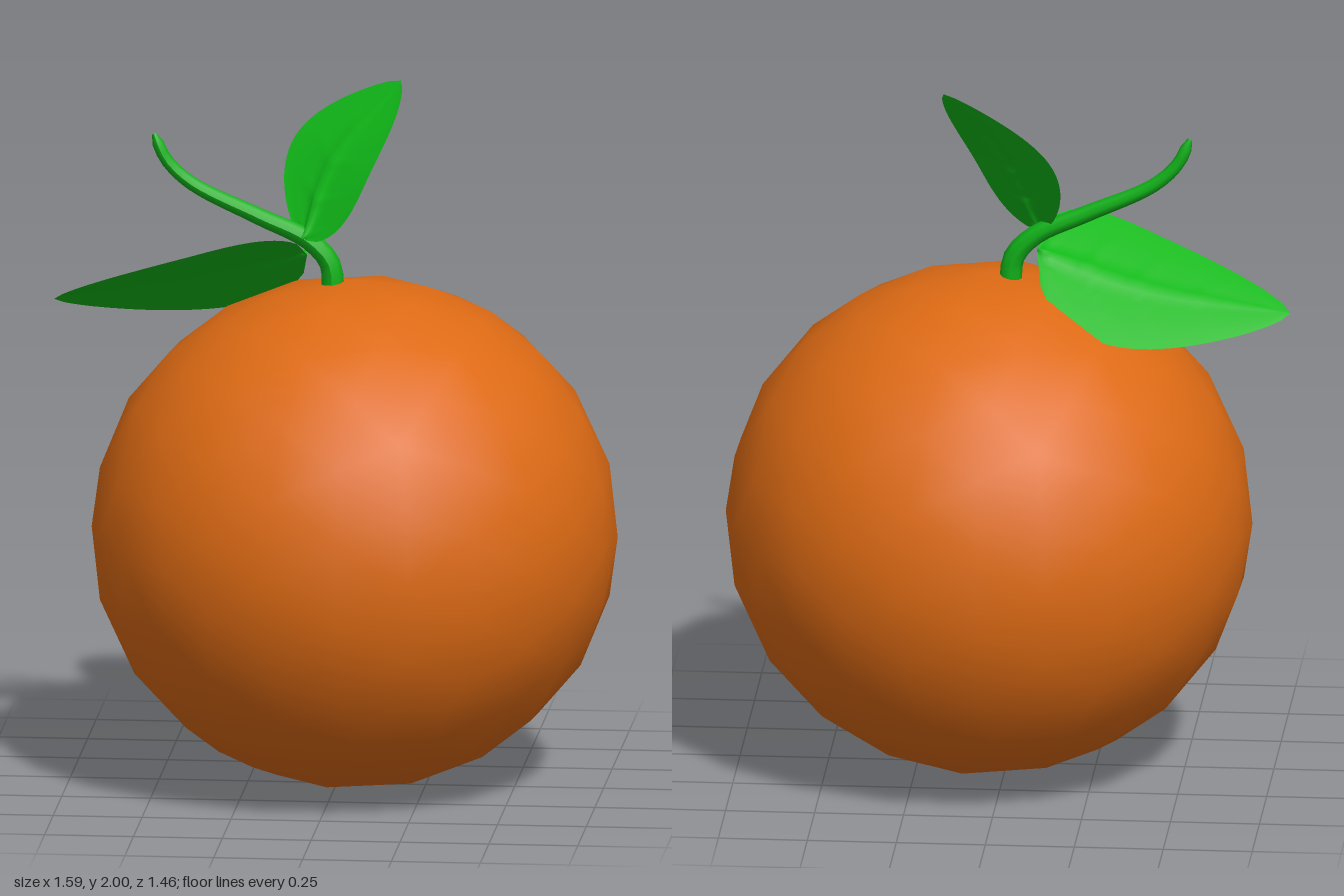
import * as THREE from 'three';

const V = (x, y, z) => new THREE.Vector3(x, y, z);

// Leaf sheet: a midline curve swept with a rounded width profile;
// grooves for the midrib and chevron side veins are pressed into its veined face.
function makeLeaf(name, midline, across, halfWidth, peak, cup, veinSide, material) {
  const curve = new THREE.CatmullRomCurve3(midline);
  const side = across.clone().normalize();
  const power = Math.log(0.5) / Math.log(peak);
  const geometry = new THREE.PlaneGeometry(1, 1, 20, 32);
  const pos = geometry.attributes.position;
  for (let i = 0; i < pos.count; i++) {
    const s = pos.getX(i) * 2;
    const t = THREE.MathUtils.clamp(pos.getY(i) + 0.5, 0, 1);
    const width = halfWidth * Math.pow(Math.max(Math.sin(Math.PI * Math.pow(t, power)), 0.0001), 0.7);
    const normal = side.clone().cross(curve.getTangent(t)).normalize();
    const a = Math.abs(s);
    const midrib = Math.exp(-((s / 0.1) ** 2)) * (1 - t);
    const chevron = Math.max(0, Math.cos((t - a * 0.16) * 28)) ** 6 * Math.max(0, 1 - a * 1.4) * (1 - t);
    const lift = cup * s * s * width - veinSide * (0.012 * midrib + 0.005 * chevron);
    const p = curve.getPoint(t).addScaledVector(side, s * width).addScaledVector(normal, lift);
    pos.setXYZ(i, p.x, p.y, p.z);
  }
  geometry.computeVertexNormals();
  const mesh = new THREE.Mesh(geometry, material);
  mesh.name = name;
  return mesh;
}

// Stem: a bent tube that narrows towards its free end
function makeStem(material) {
  const curve = new THREE.CatmullRomCurve3([
    V(-0.01, 1.4, 0), V(-0.02, 1.49, 0), V(-0.08, 1.555, 0), V(-0.22, 1.62, 0),
    V(-0.41, 1.71, -0.005), V(-0.48, 1.775, -0.005), V(-0.515, 1.85, -0.005),
  ]);
  const rings = 24, sides = 8;
  const geometry = new THREE.TubeGeometry(curve, rings, 0.032, sides, false);
  const pos = geometry.attributes.position;
  const p = V(0, 0, 0);
  for (let i = 0; i < pos.count; i++) {
    const u = Math.floor(i / (sides + 1)) / rings;
    const centre = curve.getPointAt(u);
    p.fromBufferAttribute(pos, i).sub(centre).multiplyScalar(u === 1 ? 0.2 : 1 - 0.5 * u).add(centre);
    pos.setXYZ(i, p.x, p.y, p.z);
  }
  geometry.computeVertexNormals();
  const mesh = new THREE.Mesh(geometry, material);
  mesh.name = 'stem';
  return mesh;
}

export function createModel() {
  const model = new THREE.Group();
  model.name = 'orangeFruit';

  const peel = new THREE.MeshStandardMaterial({ color: 0xdd6a14 });
  const stemGreen = new THREE.MeshStandardMaterial({ color: 0x10b018 });
  const leafGreen = new THREE.MeshStandardMaterial({ color: 0x10b818, side: THREE.DoubleSide });

  // Fruit: faceted outline with smooth shading
  const fruit = new THREE.Mesh(new THREE.IcosahedronGeometry(0.74, 3), peel);
  fruit.name = 'fruit';
  fruit.scale.y = 0.975;
  fruit.position.set(0.05, 0.7215, 0);
  fruit.rotation.y = 0.3;
  model.add(fruit);

  model.add(makeStem(stemGreen));

  // Broad leaf lying over the fruit, tipped towards the back
  model.add(makeLeaf('lyingLeaf',
    [V(-0.085, 1.51, -0.01), V(-0.4, 1.425, -0.055), V(-0.8, 1.36, -0.05)],
    V(0, 0.55, 0.85), 0.23, 0.32, 0.06, 1, leafGreen));

  // Smaller leaf standing up, veined face to the back
  model.add(makeLeaf('standingLeaf',
    [V(-0.09, 1.56, 0.025), V(-0.01, 1.785, -0.06), V(0.17, 1.995, -0.1)],
    V(0.666, -0.255, 0.7), 0.165, 0.42, 0.06, -1, leafGreen));

  return model;
}
